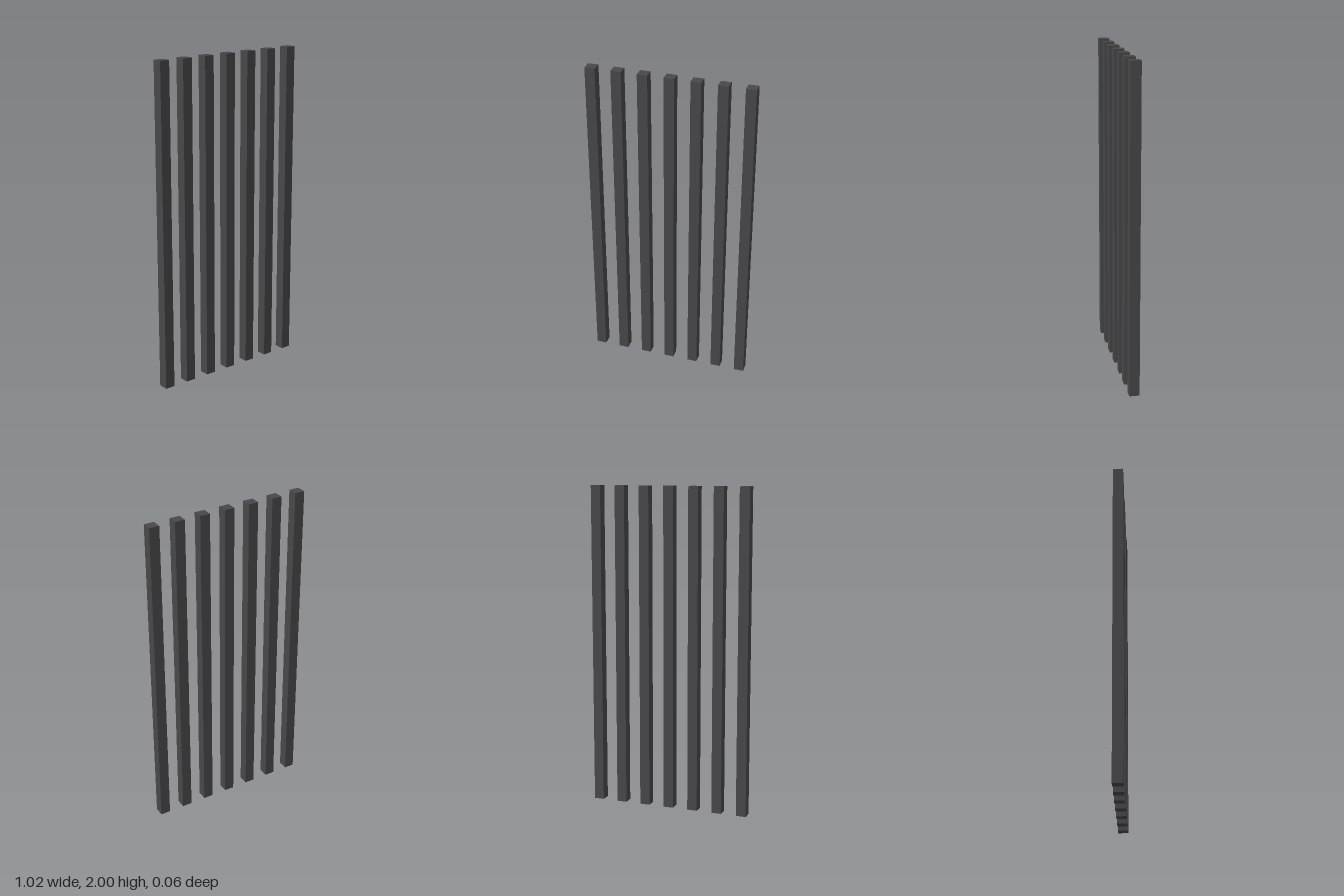
import * as THREE from 'three';

const BAR_COUNT = 7;
const BAR_WIDTH = 0.0625;
const BAR_HEIGHT = 2;
const BAR_SPACING = 0.159;

export function createModel() {
  const model = new THREE.Group();
  model.name = 'barGrille';

  // One square bar, standing on the ground
  const geometry = new THREE.BoxGeometry(BAR_WIDTH, BAR_HEIGHT, BAR_WIDTH);
  geometry.translate(0, BAR_HEIGHT / 2, 0);
  const material = new THREE.MeshStandardMaterial({ color: 0x48484a });

  // Evenly spaced row of bars, centred on x = 0
  for (let i = 0; i < BAR_COUNT; i++) {
    const bar = new THREE.Mesh(geometry, material);
    bar.name = `bar${i + 1}`;
    bar.position.x = (i - (BAR_COUNT - 1) / 2) * BAR_SPACING;
    model.add(bar);
  }
  return model;
}
